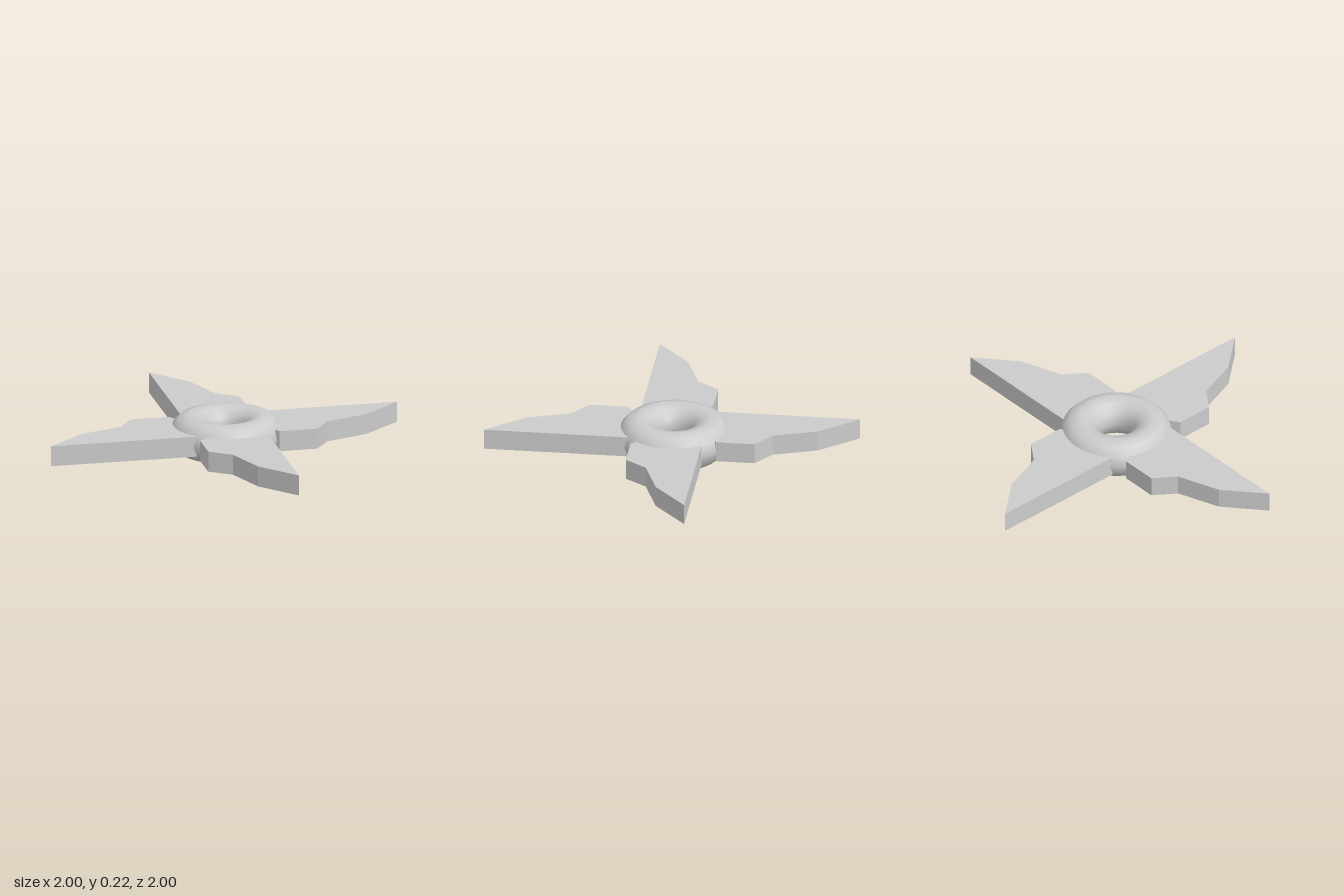
import * as THREE from 'three';

export function createModel() {
  const model = new THREE.Group();
  const material = new THREE.MeshStandardMaterial({ color: 0xcccccc });

  // Blade outline in plan (x outward, z across); the inner end is buried in the ring
  const outline = [
    [0.15, -0.192], [1.0, -0.192], [0.792, -0.012], [0.557, 0.073],
    [0.472, 0.192], [0.265, 0.192], [0.2, 0.1], [0.18, 0],
  ].map(([x, z]) => new THREE.Vector2(x, z));
  const bottom = 0.055, top = 0.168;
  const bladeGeometry = new THREE.ExtrudeGeometry(new THREE.Shape(outline), {
    depth: top - bottom,
    bevelEnabled: false,
  });
  bladeGeometry.rotateX(Math.PI / 2).translate(0, top, 0);

  // Four identical blades, a quarter turn apart
  for (let i = 0; i < 4; i++) {
    const blade = new THREE.Mesh(bladeGeometry, material);
    blade.name = `blade${i + 1}`;
    blade.rotation.y = (i * Math.PI) / 2;
    model.add(blade);
  }

  // Central ring, slightly off the blades' centre
  const ring = new THREE.Mesh(new THREE.TorusGeometry(0.197, 0.11, 12, 48), material);
  ring.name = 'centerRing';
  ring.rotation.x = Math.PI / 2;
  ring.position.set(0.015, 0.11, -0.015);
  model.add(ring);

  return model;
}
